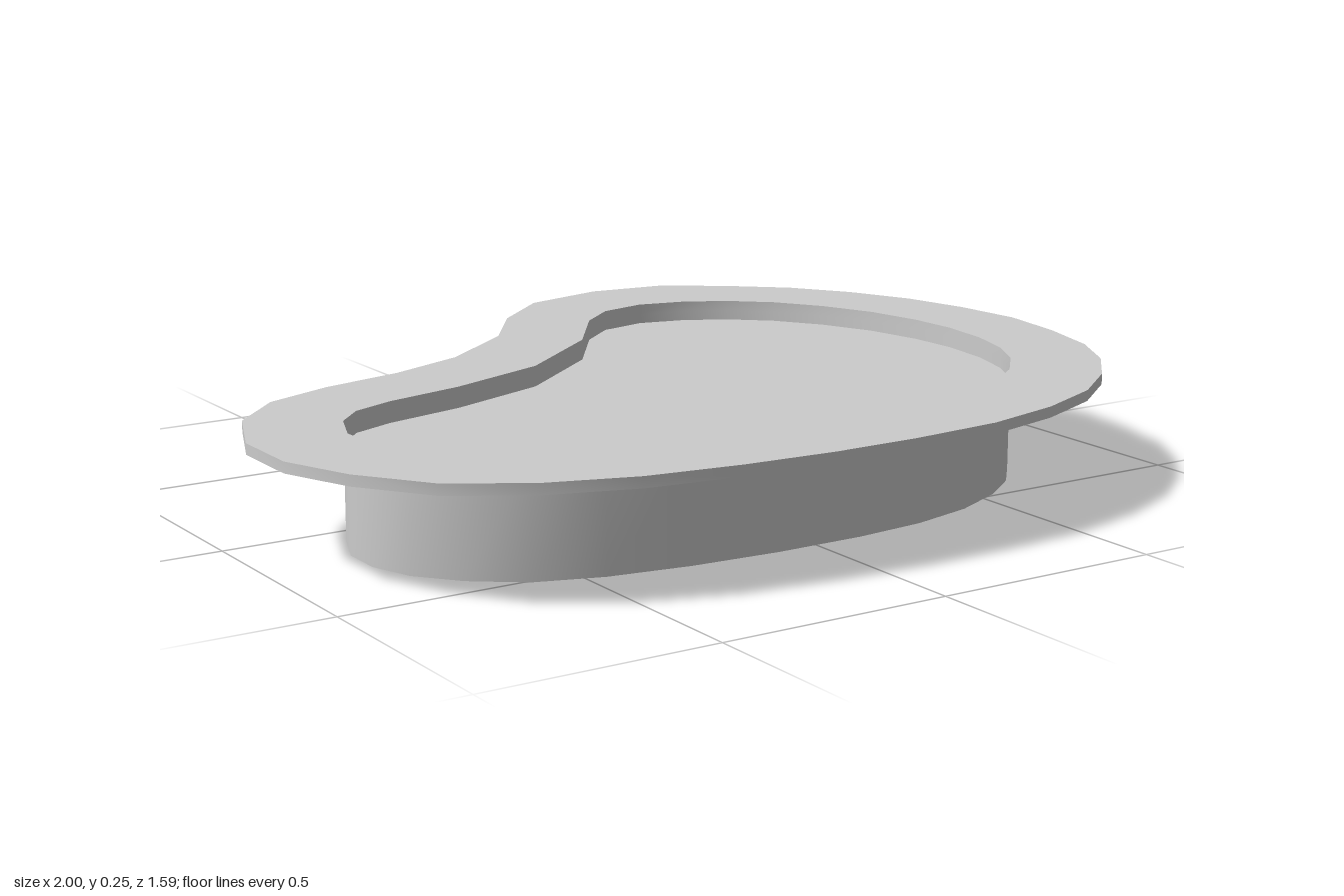
import * as THREE from 'three';
import { toCreasedNormals } from 'three/addons/utils/BufferGeometryUtils.js';

const DECK_BOTTOM = 0.222, DECK_TOP = 0.245, WATER = 0.2;

// Kidney outlines as [x, z], running clockwise seen from above
const rimOutline = [
  [0.35, -0.8], [0.53, -0.775], [0.66, -0.685], [0.78, -0.58], [0.87, -0.455], [0.94, -0.31], [0.98, -0.16], [1, 0],
  [0.98, 0.16], [0.94, 0.315], [0.87, 0.445], [0.77, 0.56], [0.64, 0.66], [0.48, 0.73], [0.3, 0.775], [0.09, 0.79],
  [-0.1, 0.79], [-0.3, 0.775], [-0.5, 0.745], [-0.68, 0.685], [-0.835, 0.59], [-0.94, 0.445], [-1, 0.295], [-1, 0.13],
  [-0.93, -0.04], [-0.815, -0.155], [-0.66, -0.215], [-0.475, -0.255], [-0.295, -0.325], [-0.105, -0.47], [0.01, -0.63], [0.155, -0.755],
];
const basinOutline = [
  [0.355, -0.6], [0.46, -0.575], [0.555, -0.525], [0.64, -0.45], [0.71, -0.35], [0.765, -0.23], [0.795, -0.1], [0.803, 0.015],
  [0.79, 0.135], [0.76, 0.24], [0.71, 0.335], [0.635, 0.42], [0.54, 0.49], [0.415, 0.548], [0.27, 0.583], [0.11, 0.597],
  [-0.09, 0.597], [-0.285, 0.583], [-0.46, 0.555], [-0.6, 0.508], [-0.7, 0.433], [-0.77, 0.348], [-0.803, 0.257], [-0.803, 0.165],
  [-0.765, 0.07], [-0.705, 0.008], [-0.61, -0.03], [-0.43, -0.07], [-0.195, -0.155], [0.03, -0.33], [0.155, -0.503], [0.245, -0.577],
];

const toPoints = (outline) => outline.map(([x, z]) => new THREE.Vector2(x, -z));

// Open smooth wall following an outline
function wallGeometry(outline, y0, y1) {
  const position = [], index = [], n = outline.length;
  outline.forEach(([x, z], i) => {
    position.push(x, y0, z, x, y1, z);
    const a = 2 * i, b = 2 * ((i + 1) % n);
    index.push(a, a + 1, b, b, a + 1, b + 1);
  });
  const geometry = new THREE.BufferGeometry();
  geometry.setAttribute('position', new THREE.Float32BufferAttribute(position, 3));
  geometry.setIndex(index);
  geometry.computeVertexNormals();
  return geometry;
}

export function createModel() {
  const group = new THREE.Group();
  group.name = 'kidneyPool';
  const grey = new THREE.MeshStandardMaterial({ color: 0xcccccc, side: THREE.DoubleSide });
  grey.name = 'light grey';
  const add = (name, geometry) => {
    const mesh = new THREE.Mesh(geometry, grey);
    mesh.name = name;
    group.add(mesh);
    return mesh;
  };

  // Basin wall, closed underneath and filled to just below the rim
  add('basinWall', wallGeometry(basinOutline, 0, DECK_BOTTOM));
  const basinShape = new THREE.Shape(toPoints(basinOutline));
  add('basinBottom', new THREE.ShapeGeometry(basinShape).rotateX(Math.PI / 2).scale(1, 1, -1));
  add('waterSurface', new THREE.ShapeGeometry(basinShape).rotateX(-Math.PI / 2)).position.y = WATER;
  // The bottom cap is mirrored to keep its outline, so turn its faces downward again
  const bottom = group.getObjectByName('basinBottom').geometry;
  const order = bottom.index.array;
  for (let i = 0; i < order.length; i += 3) [order[i], order[i + 1]] = [order[i + 1], order[i]];
  bottom.computeVertexNormals();
  if (bottom.attributes.normal.getY(0) > 0) {
    for (let i = 0; i < order.length; i += 3) [order[i], order[i + 1]] = [order[i + 1], order[i]];
    bottom.computeVertexNormals();
  }

  // Flat overhanging rim with the basin opening cut out
  const rimShape = new THREE.Shape(toPoints(rimOutline));
  rimShape.holes.push(new THREE.Path(toPoints(basinOutline)));
  const rim = new THREE.ExtrudeGeometry(rimShape, { depth: DECK_TOP - DECK_BOTTOM, bevelEnabled: false });
  rim.rotateX(-Math.PI / 2).translate(0, DECK_BOTTOM, 0);
  add('rimDeck', toCreasedNormals(rim, 0.7));

  return group;
}
